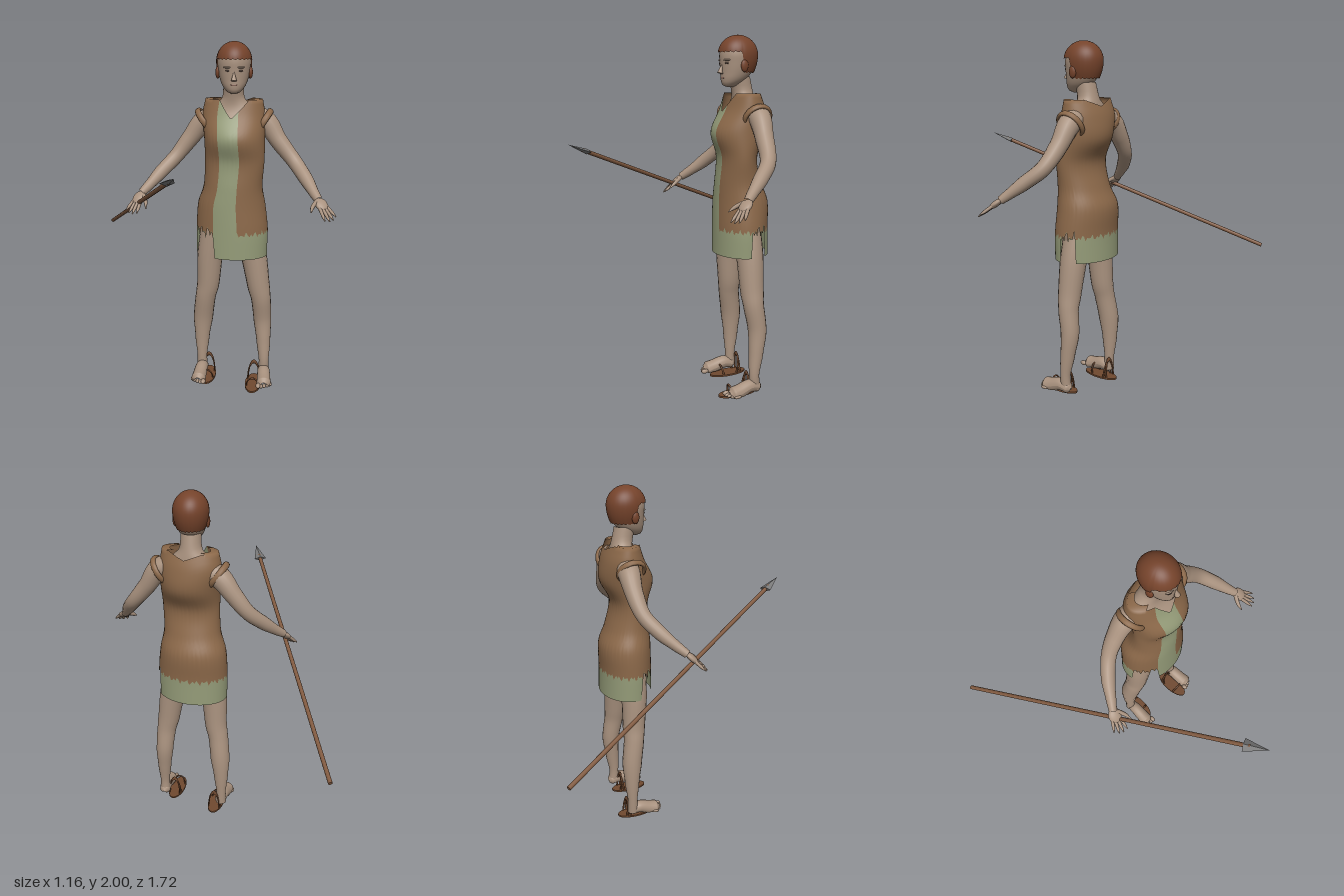
import * as THREE from 'three';

const mat = (name, color, side = THREE.FrontSide) => {
  const m = new THREE.MeshStandardMaterial({ color, side });
  m.name = name;
  return m;
};
const V = (a) => new THREE.Vector3(...a);

// Smooth interpolation of the rows [y, ...values] at a height
function sample(rows, y) {
  const n = rows.length;
  let k = 0;
  while (k < n - 2 && y > rows[k + 1][0]) k++;
  const h = rows[k + 1][0] - rows[k][0];
  const t = THREE.MathUtils.clamp((y - rows[k][0]) / h, 0, 1);
  const slope = (i, c) => {
    const a = rows[Math.max(i - 1, 0)], b = rows[Math.min(i + 1, n - 1)];
    return (b[c] - a[c]) / (b[0] - a[0]) * h;
  };
  return rows[0].map((_, c) => {
    const p = rows[k][c], q = rows[k + 1][c], t2 = t * t, t3 = t2 * t;
    return p * (2 * t3 - 3 * t2 + 1) + q * (3 * t2 - 2 * t3) + slope(k, c) * (t3 - 2 * t2 + t) + slope(k + 1, c) * (t3 - t2);
  });
}

// Point on a turned elliptical section; rows are [y, centre x, centre z, half extent x, half extent z]
function section(rows, turn, u, y, scale = 1) {
  const [, cx, cz, X, Z] = sample(rows, y);
  const c = Math.cos(turn), s = Math.sin(turn), d = c * c - s * s;
  const a = Math.sqrt(Math.max((X * X * c * c - Z * Z * s * s) / d, 1e-6)) * scale * Math.cos(u);
  const b = Math.sqrt(Math.max((Z * Z * c * c - X * X * s * s) / d, 1e-6)) * scale * Math.sin(u);
  return [cx + a * c + b * s, y, cz - a * s + b * c];
}

// Closed band of quads; pick(i, j) gives the material index, or -1 for no face
function surface(nu, nv, point, pick = () => 0) {
  const pos = [], sets = [[], []];
  for (let j = 0; j <= nv; j++) for (let i = 0; i < nu; i++) pos.push(...point(i, j));
  for (let j = 0; j < nv; j++) for (let i = 0; i < nu; i++) {
    const a = j * nu + i, b = j * nu + (i + 1) % nu, m = pick(i, j);
    if (m >= 0) sets[m].push(a, a + nu, b, b, a + nu, b + nu);
  }
  const g = new THREE.BufferGeometry();
  g.setAttribute('position', new THREE.Float32BufferAttribute(pos, 3));
  g.setIndex([...sets[0], ...sets[1]]);
  g.addGroup(0, sets[0].length, 0);
  g.addGroup(sets[0].length, sets[1].length, 1);
  g.computeVertexNormals();
  return g;
}
const loft = (rows, turn, nv) => {
  const y0 = rows[0][0], y1 = rows[rows.length - 1][0];
  return surface(40, nv, (i, j) => section(rows, turn, i / 40 * Math.PI * 2, y0 + (y1 - y0) * j / nv));
};

// Tapered tube through points [x, y, z, radius]
function limb(pts, radial = 18) {
  const curve = new THREE.CatmullRomCurve3(pts.map((p) => V(p.slice(0, 3))));
  const seg = pts.length * 6, g = new THREE.TubeGeometry(curve, seg, 1, radial), p = g.attributes.position;
  for (let i = 0; i <= seg; i++) {
    const t = curve.getUtoTmapping(i / seg) * (pts.length - 1), k = Math.min(Math.floor(t), pts.length - 2);
    const r = THREE.MathUtils.lerp(pts[k][3], pts[k + 1][3], THREE.MathUtils.smoothstep(t - k, 0, 1) * 0.5 + (t - k) * 0.5);
    const c = curve.getPointAt(i / seg);
    for (let j = 0; j <= radial; j++) {
      const n = i * (radial + 1) + j, v = new THREE.Vector3().fromBufferAttribute(p, n).sub(c).multiplyScalar(r).add(c);
      p.setXYZ(n, v.x, v.y, v.z);
    }
  }
  return g;
}

// Frame with y along d and x as near as possible to hint
function frame(origin, d, hint) {
  const y = d.clone().normalize(), x = hint.clone().addScaledVector(y, -hint.dot(y)).normalize();
  return new THREE.Matrix4().makeBasis(x, y, x.clone().cross(y)).setPosition(origin);
}

export function createModel() {
  const root = new THREE.Group();
  const skin = mat('skin', 0xa8917e), brown = mat('tunicBrown', 0x8b6849, THREE.DoubleSide);
  const green = mat('tunicGreen', 0x949b78, THREE.DoubleSide), hairMat = mat('hair', 0x75432b, THREE.DoubleSide);
  const wood = mat('wood', 0x80593f), metal = mat('metal', 0x787878), leather = mat('leather', 0x70492f);
  const dark = mat('eyeDark', 0x4a3a32), lip = mat('lips', 0x8e6c5e);
  const add = (name, geo, m, parent = root) => {
    const mesh = new THREE.Mesh(geo, m);
    mesh.name = name;
    parent.add(mesh);
    return mesh;
  };
  const ball = (name, m, p, s, parent) => {
    const b = add(name, new THREE.SphereGeometry(1, 18, 12), m, parent);
    b.position.set(...p);
    b.scale.set(...s);
    return b;
  };

  // Torso and neck
  add('torso', loft([[0.84, 0.105, 0.03, 0.15, 0.11], [1.0, 0.105, 0.03, 0.175, 0.135], [1.2, 0.105, 0.045, 0.145, 0.11],
    [1.35, 0.11, 0.06, 0.145, 0.098], [1.5, 0.112, 0.04, 0.15, 0.125], [1.6, 0.112, 0.015, 0.145, 0.09],
    [1.65, 0.112, 0.01, 0.1, 0.07], [1.69, 0.11, 0.015, 0.064, 0.06], [1.78, 0.107, 0.035, 0.056, 0.058]], -0.38, 40), skin);

  // Tunic: hem band, front stripe, side slits and neckline set per column
  const body = [[0.8, 0.105, 0.03, 0.2, 0.16], [0.95, 0.105, 0.03, 0.2, 0.158], [1.1, 0.102, 0.025, 0.188, 0.155],
    [1.2, 0.105, 0.045, 0.163, 0.132], [1.35, 0.11, 0.06, 0.161, 0.115], [1.48, 0.112, 0.045, 0.168, 0.155],
    [1.6, 0.112, 0.018, 0.17, 0.128], [1.69, 0.113, 0.02, 0.153, 0.1]];
  const nu = 120, lower = 5, upper = 32, turn = -0.38;
  const cols = Array.from({ length: nu }, (_, i) => {
    const u = i / nu * Math.PI * 2, front = Math.sin(u) > 0;
    const [hx, , hz] = section(body, turn, u, 0.85), sx = section(body, turn, u, 1.3)[0], tx = section(body, turn, u, 1.65)[0];
    const jag = 0.012 * Math.sin(i * 2.3) + 0.008 * Math.sin(i * 5.1);
    const slit = (hx > 0.2 && hz > 0.02 && hz < 0.11) || (hx < -0.018 && hz > 0);
    const hem = slit ? 0.945 + jag * 2 : 0.8;
    const dip = front ? (tx < 0.08 ? 1.59 + (0.08 - tx) * 1.5 : 1.59 + (tx - 0.08) * 1.05) : 1.655 + Math.abs(Math.cos(u)) * 0.06;
    return { u, hem, band: Math.max(hem + 0.005, 0.945 + jag), top: Math.min(1.69, dip),
      stripe: front && sx > 0.012 && sx < 0.113, strap: Math.abs(Math.cos(u)) > 0.66 };
  });
  const tunic = surface(nu, lower + upper + 1, (i, j) => {
    const c = cols[i];
    if (j > lower + upper) return section(body, turn, c.u, c.top, 0.72);
    const y = j <= lower ? THREE.MathUtils.lerp(c.hem, c.band, j / lower) : THREE.MathUtils.lerp(c.band, c.top, (j - lower) / upper);
    return section(body, turn, c.u, y);
  }, (i, j) => {
    const c = cols[i];
    if (j === lower + upper) return c.strap && cols[(i + 1) % nu].strap ? 0 : -1;
    return j < lower || c.stripe ? 1 : 0;
  });
  add('tunic', tunic, [brown, green]);
  // Armhole trims
  for (const [p, d] of [[[0.27, 1.56, 0.055], [1, -0.7, 0.3]], [[-0.035, 1.56, -0.035], [-1, -0.8, -0.3]]]) {
    const g = new THREE.TorusGeometry(0.078, 0.011, 8, 32).rotateX(Math.PI / 2).scale(1, 1.6, 0.95);
    add('armholeTrim', g.applyMatrix4(frame(V(p), V(d), V([0, 1, 0]))), brown);
  }

  // Legs
  add('rightLeg', limb([[0.01, 0.97, 0.01, 0.08], [-0.018, 0.8, 0, 0.075], [-0.03, 0.6, -0.012, 0.066], [-0.043, 0.52, -0.022, 0.06],
    [-0.054, 0.38, -0.045, 0.059], [-0.06, 0.25, -0.05, 0.044], [-0.062, 0.12, -0.047, 0.029], [-0.062, 0.04, -0.045, 0.032]]), skin);
  add('leftLeg', limb([[0.18, 0.97, 0.05, 0.08], [0.225, 0.8, 0.063, 0.076], [0.257, 0.6, 0.075, 0.066], [0.272, 0.52, 0.076, 0.058],
    [0.287, 0.38, 0.062, 0.053], [0.292, 0.25, 0.075, 0.042], [0.293, 0.12, 0.09, 0.029], [0.293, 0.04, 0.085, 0.032]]), skin);

  // Feet with toes, flattened at the sole
  const foot = (name, x, z, angle) => {
    const g = new THREE.Group();
    g.name = name;
    const geo = limb([[0, 0.045, -0.04, 0.012], [0, 0.05, -0.02, 0.032], [0, 0.062, 0.03, 0.037], [0, 0.045, 0.09, 0.04],
      [0, 0.034, 0.135, 0.043], [0, 0.032, 0.16, 0.02]]);
    const p = geo.attributes.position;
    for (let i = 0; i < p.count; i++) p.setY(i, Math.max(p.getY(i), 0.02));
    geo.computeVertexNormals();
    add('footBody', geo, skin, g);
    const inner = x > 0.1 ? -1 : 1;
    for (let i = 0; i < 5; i++) {
      const r = i ? 0.01 : 0.014;
      ball('toe', skin, [inner * (0.034 - i * 0.018), 0.02 + r, 0.162 - i * i * 0.0022], [r, r, 0.022], g);
    }
    g.position.set(x, 0, z);
    g.rotation.y = angle;
    root.add(g);
  };
  foot('rightFoot', -0.062, -0.03, -0.35);
  foot('leftFoot', 0.293, 0.09, -0.22);

  // Sandals lying beside the feet
  for (const [name, x, z] of [['rightSandal', -0.035, -0.003], ['leftSandal', 0.215, 0.15]]) {
    const g = new THREE.Group();
    g.name = name;
    add('sole', new THREE.CylinderGeometry(1, 1, 0.01, 32).scale(0.048, 1, 0.114), leather, g).position.y = 0.005;
    for (const [zz, w, h, tilt] of [[-0.068, 0.034, 0.112, 0.08], [-0.045, 0.036, 0.108, -0.15], [0.04, 0.036, 0.055, 0.2]]) {
      const s = add('strap', new THREE.TorusGeometry(1, 0.1, 6, 20, Math.PI).scale(w, h, 0.06), leather, g);
      s.position.set(0, 0.008, zz);
      s.rotation.x = tilt;
    }
    g.position.set(x, 0, z);
    g.rotation.y = -0.3;
    root.add(g);
  }

  // Arms
  add('rightArm', limb([[0.03, 1.59, -0.02, 0.06], [-0.045, 1.555, -0.06, 0.062], [-0.12, 1.46, -0.085, 0.05], [-0.2, 1.36, -0.088, 0.042],
    [-0.29, 1.28, -0.05, 0.039], [-0.365, 1.215, 0.0, 0.029], [-0.415, 1.175, 0.035, 0.023]]), skin);
  add('leftArm', limb([[0.2, 1.6, 0.035, 0.06], [0.285, 1.565, 0.055, 0.062], [0.355, 1.46, 0.085, 0.05], [0.437, 1.345, 0.14, 0.042],
    [0.475, 1.27, 0.23, 0.039], [0.5, 1.205, 0.315, 0.028], [0.513, 1.175, 0.355, 0.023]]), skin);

  // Hands: palm, four fingers and a thumb
  const hand = (name, wrist, tip, thumb) => {
    const g = new THREE.Group();
    g.name = name;
    const d = V(tip).sub(V(wrist)), len = d.length(), m = frame(V(wrist), d, V(thumb).sub(V(wrist)));
    const at = (x, y, z, r) => [...V([x, y, z]).applyMatrix4(m).toArray(), r];
    add('palm', new THREE.SphereGeometry(1, 18, 12).scale(0.036, 0.045, 0.017).translate(0, 0.035, 0).applyMatrix4(m), skin, g);
    for (let i = 0; i < 4; i++) {
      const x = (i - 1.5) * 0.017, l = len * [0.86, 0.97, 1, 0.93][i];
      add('finger', limb([at(x * 0.8, 0.045, 0, 0.01), at(x * 1.2, l * 0.75, 0, 0.009), at(x * 1.5, l, 0, 0.003)], 8), skin, g);
    }
    const t = V(thumb).applyMatrix4(m.clone().invert());
    add('thumb', limb([at(0.015, 0.01, 0, 0.013), at(t.x * 0.7, t.y * 0.55, 0, 0.011), at(t.x, t.y, 0, 0.003)], 8), skin, g);
    root.add(g);
  };
  hand('rightHand', [-0.413, 1.178, 0.033], [-0.485, 1.08, 0.12], [-0.4, 1.11, 0.14]);
  hand('leftHand', [0.512, 1.178, 0.352], [0.555, 1.085, 0.47], [0.452, 1.125, 0.43]);

  // Head
  const head = new THREE.Group();
  head.name = 'head';
  head.position.set(0.107, 0, 0.045);
  head.rotation.y = -0.2;
  root.add(head);
  add('skull', loft([[1.722, 0, 0.05, 0.012, 0.015], [1.732, 0, 0.05, 0.034, 0.04], [1.76, 0, 0.03, 0.06, 0.07], [1.8, 0, 0.014, 0.077, 0.087],
    [1.85, 0, 0.004, 0.087, 0.099], [1.9, 0, 0.0, 0.09, 0.104], [1.95, 0, 0, 0.075, 0.09], [1.985, 0, 0, 0.03, 0.04]], 0, 28), skin, head);
  const nose = add('nose', new THREE.ConeGeometry(0.016, 0.055, 12), skin, head);
  nose.position.set(0, 1.823, 0.106);
  nose.rotation.x = -0.25;
  ball('noseTip', skin, [0, 1.803, 0.11], [0.014, 0.01, 0.012], head);
  ball('mouth', lip, [0, 1.773, 0.094], [0.022, 0.007, 0.009], head);
  for (const s of [-1, 1]) {
    ball('eye', dark, [s * 0.037, 1.848, 0.0925], [0.012, 0.005, 0.005], head).rotation.y = s * 0.4;
    ball('brow', skin, [s * 0.036, 1.866, 0.091], [0.024, 0.006, 0.009], head).rotation.y = s * 0.35;
    ball('sideCurl', hairMat, [s * 0.089, 1.835, 0.012], [0.013, 0.034, 0.022], head);
  }
  // Bowl-cut hair with a ragged fringe
  add('hair', surface(72, 20, (i, j) => {
    const u = i / 72 * Math.PI * 2, f = Math.sin(u);
    const edge = THREE.MathUtils.lerp(1.8, 1.908, THREE.MathUtils.smoothstep(f, 0.05, 0.3)) + 0.004 * Math.sin(i * 2.1);
    const y = 2 - (2 - edge) * (1 - j / 20) ** 2, k = (y - 1.895) / 0.105;
    const r = k > 0 ? Math.sqrt(Math.max(1 - k * k, 0)) : 1 - 0.25 * k * k;
    return [0.098 * r * Math.cos(u), y, 0.113 * r * f];
  }), hairMat, head);

  // Spear
  const spear = new THREE.Group();
  spear.name = 'spear';
  root.add(spear);
  const butt = V([-0.56, 0.78, -0.86]), tip = V([-0.322, 1.43, 0.86]), axis = tip.clone().sub(butt), L = axis.length();
  const m = frame(butt, axis, V([1, 0, 0]));
  add('shaft', new THREE.CylinderGeometry(0.0115, 0.0115, L - 0.1, 14).translate(0, (L - 0.1) / 2, 0).applyMatrix4(m), wood, spear);
  const blade = new THREE.ConeGeometry(0.037, 0.135, 4).toNonIndexed().scale(1, 1, 0.4).translate(0, L - 0.0675, 0).applyMatrix4(m);
  blade.computeVertexNormals();
  add('spearhead', blade, metal, spear);
  return root;
}
